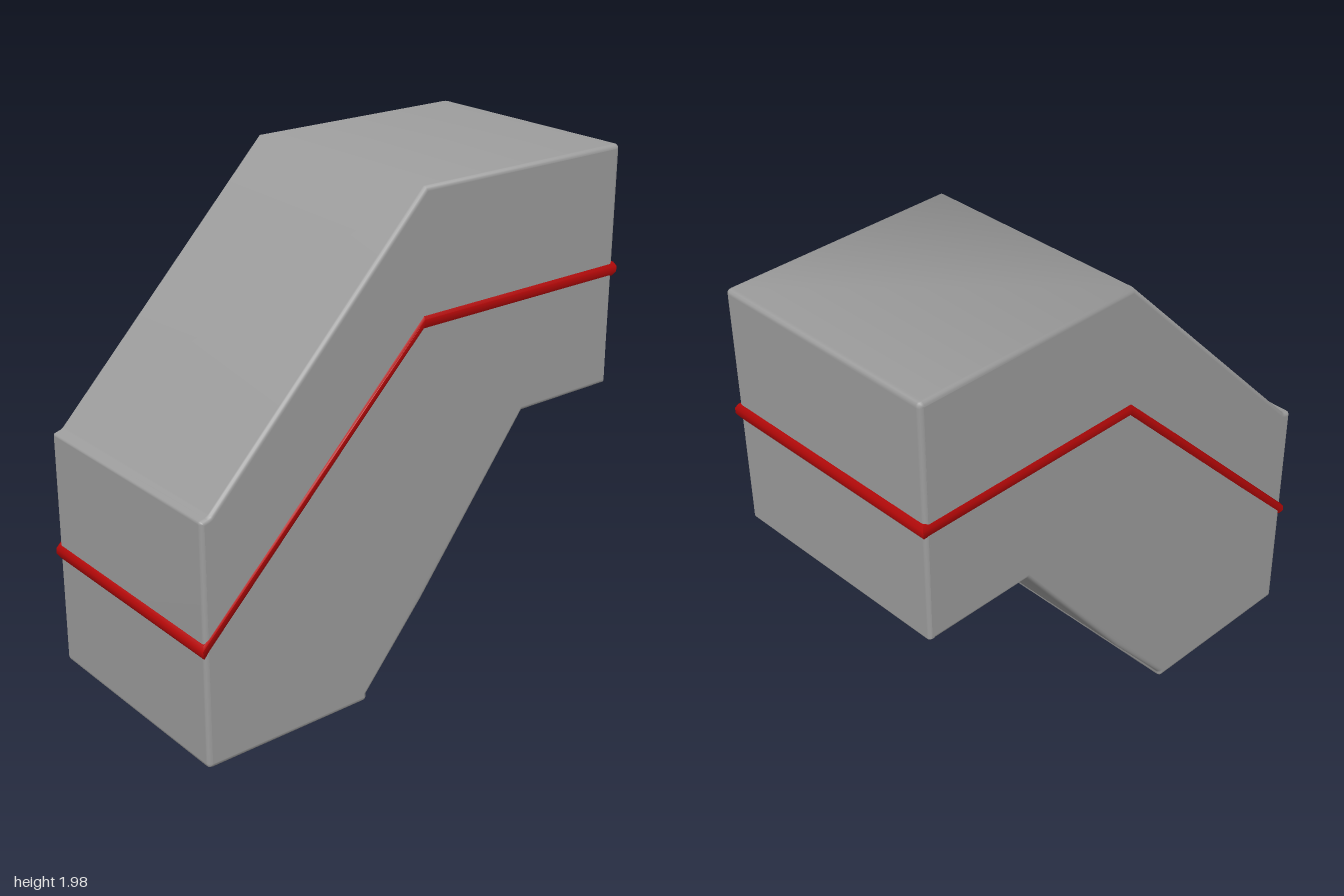
import * as THREE from 'three';
import { mergeVertices, toCreasedNormals } from 'three/addons/utils/BufferGeometryUtils.js';

// Closed outline whose corners [x, y, radius] are softened
function roundedOutline(corners) {
  const shape = new THREE.Shape();
  const n = corners.length;
  corners.forEach(([x, y, r], i) => {
    const p = new THREE.Vector2(x, y);
    const toward = ([qx, qy]) => new THREE.Vector2(qx, qy).sub(p).setLength(r).add(p);
    const a = toward(corners[(i + n - 1) % n]);
    const b = toward(corners[(i + 1) % n]);
    if (i === 0) shape.moveTo(a.x, a.y);
    else shape.lineTo(a.x, a.y);
    if (r > 0) shape.quadraticCurveTo(x, y, b.x, b.y);
  });
  shape.closePath();
  return shape;
}

// Angled block with softened edges, shaded smoothly across its bends
function createBody() {
  const halfDepth = 0.493, bevel = 0.018;
  const outline = roundedOutline([
    [-0.988, 0, 0.02], [-0.25, 0, 0.02], [-0.25, 0.03, 0], [0.02, 0.35, 0],
    [0.52, 1, 0], [0.985, 1, 0.008], [0.985, 1.98, 0.02], [0, 1.98, 0],
    [-0.95, 0.995, 0.01], [-0.988, 0.985, 0.01],
  ]);
  const extrusion = new THREE.ExtrudeGeometry(outline, {
    depth: 2 * (halfDepth - bevel), curveSegments: 3,
    bevelThickness: bevel, bevelSize: bevel, bevelOffset: -bevel, bevelSegments: 4,
  });
  extrusion.translate(0, 0, bevel - halfDepth);
  // Joined corners give normals weighted by face area
  extrusion.deleteAttribute('uv');
  extrusion.deleteAttribute('normal');
  const geometry = mergeVertices(extrusion, 1e-4);
  geometry.computeVertexNormals();
  const mesh = new THREE.Mesh(geometry, new THREE.MeshStandardMaterial({ color: 0x9c9c9c }));
  mesh.name = 'angledBody';
  return mesh;
}

// Mitred band that runs level, then down the slope, all the way around
function createTrim() {
  const sides = 8, inset = 0.017, halfHeight = 0.028;
  // Path corners: direction in x, direction in z, height
  const path = [[1, 1, 1.48], [1, -1, 1.48], [0, -1, 1.48],
    [-1, -1, 0.485], [-1, 1, 0.485], [0, 1, 1.48]];
  const positions = [], index = [];
  path.forEach(([sx, sz, y], i) => {
    const next = (i + 1) % path.length;
    for (let j = 0; j < sides; j++) {
      const angle = ((j + 0.5) / sides) * Math.PI * 2;
      const scale = 1 / Math.cos(Math.PI / sides);
      const out = inset * (Math.cos(angle) * scale - 1);
      positions.push(sx * (1 + out), y + halfHeight * Math.sin(angle) * scale, sz * (0.5 + out));
      const k = (j + 1) % sides;
      const a = i * sides + j, b = next * sides + j;
      const c = next * sides + k, d = i * sides + k;
      index.push(a, b, d, b, c, d);
    }
  });
  const geometry = new THREE.BufferGeometry();
  geometry.setAttribute('position', new THREE.Float32BufferAttribute(positions, 3));
  geometry.setIndex(index);
  const mesh = new THREE.Mesh(toCreasedNormals(geometry, 0.9),
    new THREE.MeshStandardMaterial({ color: 0xb40808 }));
  mesh.name = 'trimBand';
  return mesh;
}

export function createModel() {
  const model = new THREE.Group();
  model.name = 'angledBlock';
  model.add(createBody(), createTrim());
  return model;
}
